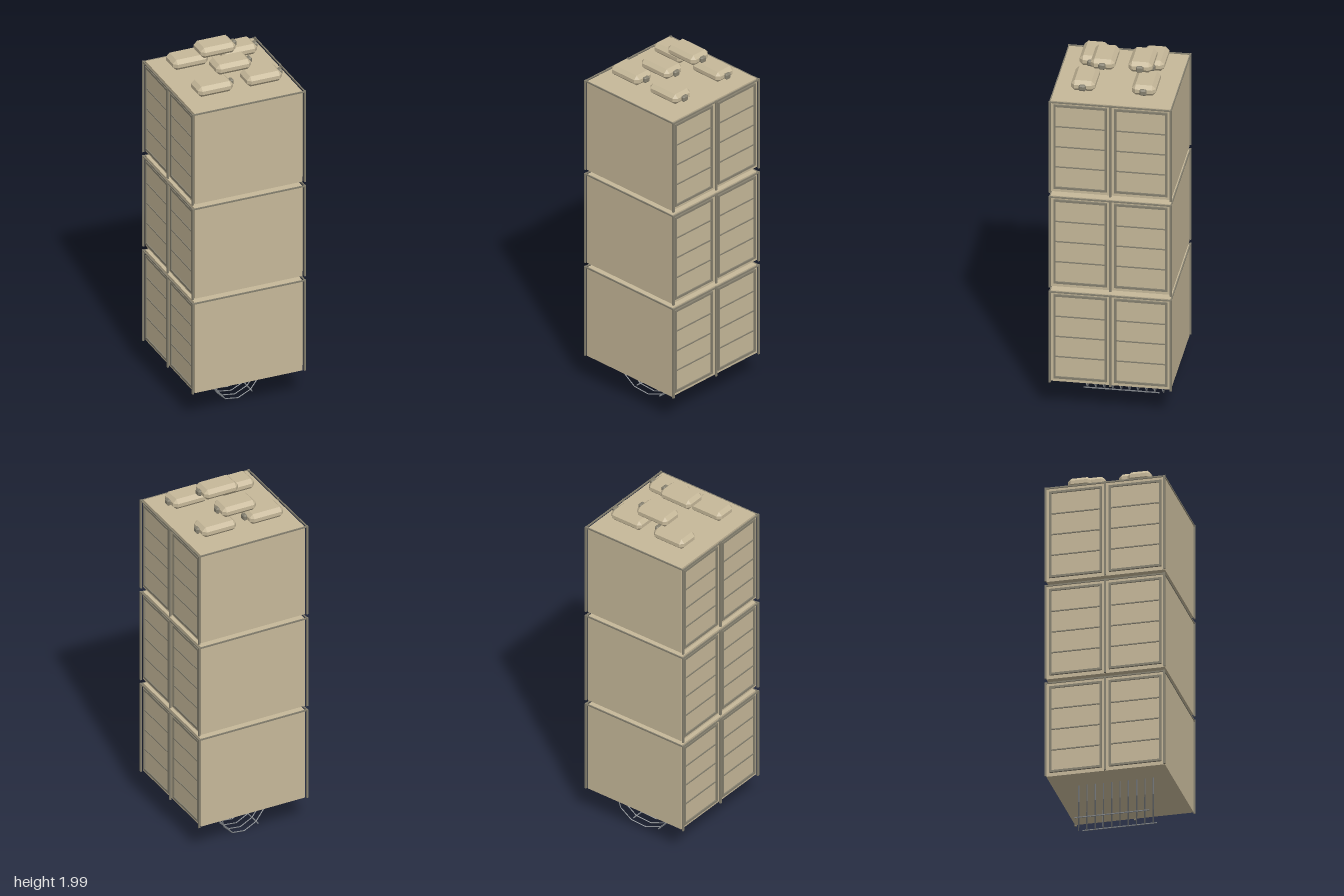
import * as THREE from 'three';
import { ConvexGeometry } from 'three/addons/geometries/ConvexGeometry.js';

const tan = new THREE.MeshStandardMaterial({ color: 0xc6b899, flatShading: true });
const frame = new THREE.MeshStandardMaterial({ color: 0x85806f, flatShading: true });
const steel = new THREE.MeshStandardMaterial({ color: 0x808488, flatShading: true });

function add(parent, name, geometry, material, x = 0, y = 0, z = 0) {
  const mesh = new THREE.Mesh(geometry, material);
  mesh.name = name;
  mesh.position.set(x, y, z);
  parent.add(mesh);
  return mesh;
}

function box(parent, name, material, w, h, d, x, y, z) {
  return add(parent, name, new THREE.BoxGeometry(w, h, d), material, x, y, z);
}

// Box with every edge cut off by c
function chamferedBox(w, h, d, c) {
  const points = [];
  for (const sx of [-1, 1]) for (const sy of [-1, 1]) for (const sz of [-1, 1]) {
    const x = w / 2, y = h / 2, z = d / 2;
    points.push(
      new THREE.Vector3(sx * x, sy * (y - c), sz * (z - c)),
      new THREE.Vector3(sx * (x - c), sy * y, sz * (z - c)),
      new THREE.Vector3(sx * (x - c), sy * (y - c), sz * z));
  }
  return new ConvexGeometry(points);
}

// Framed door with horizontal slats, on the side given by s
function createDoor(s, zc) {
  const door = new THREE.Group();
  door.name = 'door';
  const w = 0.285, h = 0.5, t = 0.012, x = s * 0.315;
  for (const e of [-1, 1]) {
    box(door, 'doorStile', frame, 0.01, h, t, x, 0, zc + e * (w - t) / 2);
    box(door, 'doorRail', frame, 0.01, t, w, x, e * (h - t) / 2, zc);
  }
  box(door, 'doorPanel', tan, 0.003, h - t, w - t, s * 0.3115, 0, zc);
  for (const y of [-0.12, 0, 0.12]) box(door, 'doorSlat', frame, 0.008, 0.006, w - t, s * 0.314, y, zc);
  return door;
}

// One cabinet: closed body, posts, top rails and four doors
function createCabinet() {
  const cabinet = new THREE.Group();
  cabinet.name = 'cabinet';
  const h = 0.54;
  box(cabinet, 'cabinetBody', tan, 0.62, h, 0.644, 0, 0, 0);
  for (const s of [-1, 1]) {
    for (const z of [-0.323, 0, 0.323]) box(cabinet, 'post', frame, 0.009, h + 0.004, 0.011, s * 0.323, 0, z);
    box(cabinet, 'sideRail', frame, 0.006, 0.008, 0.644, s * 0.323, h / 2 - 0.003, 0);
    box(cabinet, 'endRail', frame, 0.644, 0.008, 0.006, 0, h / 2 - 0.003, s * 0.323);
    for (const z of [-0.162, 0.162]) cabinet.add(createDoor(s, z));
  }
  return cabinet;
}

export function createModel() {
  const model = new THREE.Group();
  model.name = 'stackedCabinets';

  // Stack of three cabinets
  for (let i = 0; i < 3; i++) {
    const cabinet = createCabinet();
    cabinet.position.y = 0.45 + i * 0.566;
    model.add(cabinet);
  }

  // Canisters floating above the top, each with a cap at its left end
  const canisterGeometry = chamferedBox(0.202, 0.06, 0.129, 0.02);
  const capGeometry = chamferedBox(0.024, 0.034, 0.038, 0.007);
  const places = [
    [-0.141, 1.909, -0.163], [0.141, 1.909, -0.163],
    [-0.141, 1.909, 0.161], [0.141, 1.909, 0.161],
    [0, 1.97, -0.122], [0, 1.97, 0.079],
  ];
  for (const [x, y, z] of places) {
    const canister = new THREE.Group();
    canister.name = 'canister';
    canister.position.set(x, y, z);
    add(canister, 'canisterBody', canisterGeometry, tan);
    add(canister, 'canisterCap', capGeometry, frame, 0.108, 0, 0);
    model.add(canister);
  }

  // Slanted half hoops of wire hanging below
  const hoopGeometry = new THREE.TorusGeometry(0.167, 0.0035, 4, 6, Math.PI);
  hoopGeometry.rotateZ(Math.PI);
  for (let i = 0; i < 10; i++) {
    const hoop = add(model, 'wireHoop', hoopGeometry, steel, 0, 0.1805, 0.18 - i * 0.045);
    hoop.rotation.y = 0.25;
  }
  // Straight wires joining the hoops
  for (const s of [-1, 1]) box(model, 'joiningWire', steel, 0.005, 0.005, 0.405, s * 0.083, 0.034, -0.0225);

  // Settle on the ground
  const bounds = new THREE.Box3().setFromObject(model);
  for (const part of model.children) part.position.y -= bounds.min.y;
  return model;
}
